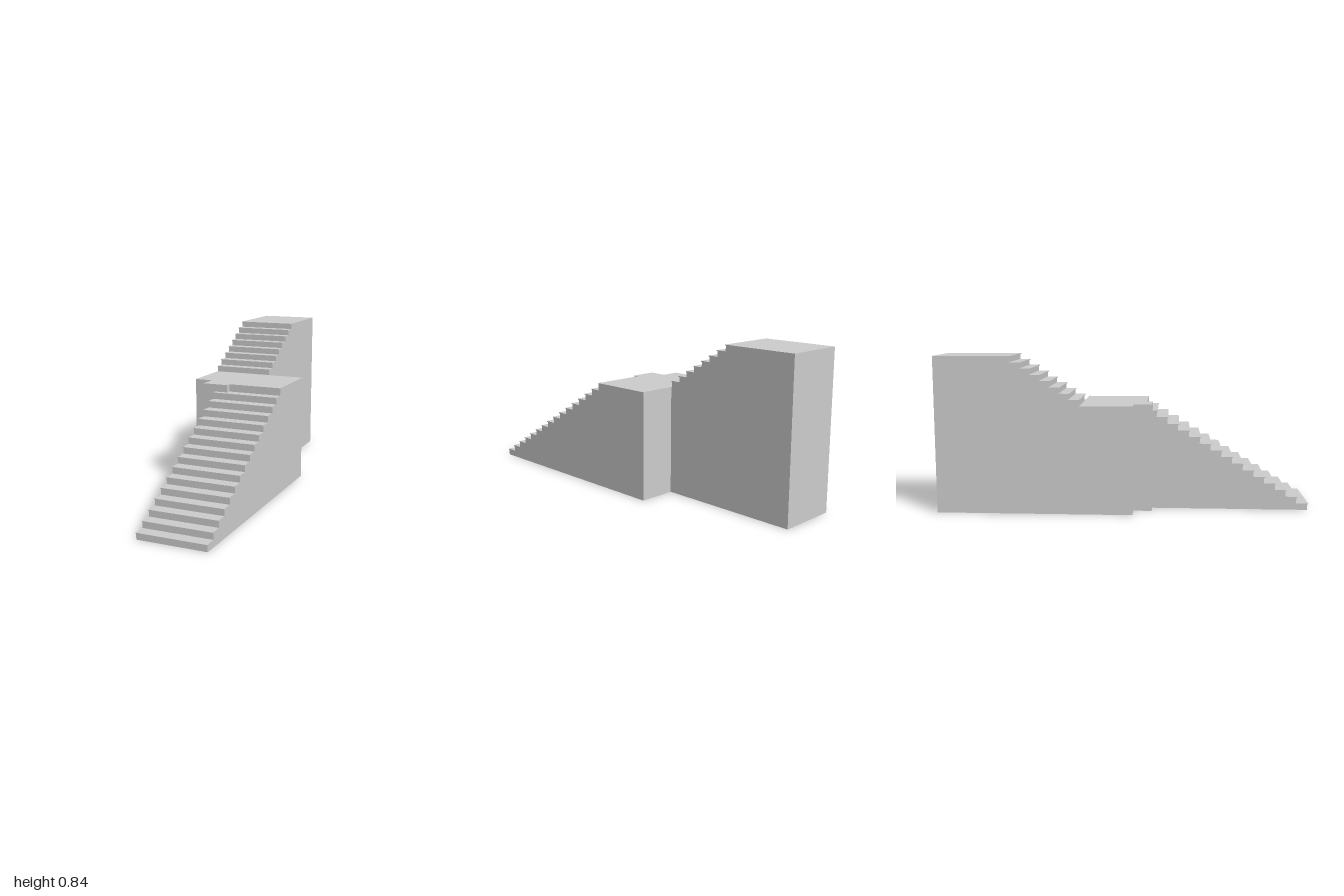
import * as THREE from 'three';

const material = new THREE.MeshStandardMaterial({ color: 0xcccccc, side: THREE.DoubleSide, flatShading: true });
const LEFT = 0.265, RIGHT = -0.267, INNER = -0.1, UPPER = 0.06;
const LANDING = 0.58, TOP = 0.84, JOINT = -0.23, BACK = -1;

// Flat quads between two matching polylines
function ribbon(a, b) {
  const pos = [];
  for (let i = 0; i < a.length - 1; i++) {
    pos.push(...a[i], ...b[i], ...b[i + 1], ...a[i], ...b[i + 1], ...a[i + 1]);
  }
  const g = new THREE.BufferGeometry();
  g.setAttribute('position', new THREE.Float32BufferAttribute(pos, 3));
  g.computeVertexNormals();
  return g;
}

// [z, y] profile swept across x
const sweep = (pts, x0, x1) => ribbon(pts.map(([z, y]) => [x0, y, z]), pts.map(([z, y]) => [x1, y, z]));

// [x, z] plan line raised from y0 to y1
const wall = (pts, y0, y1) => ribbon(pts.map(([x, z]) => [x, y0, z]), pts.map(([x, z]) => [x, y1, z]));

const flat = (pts) => new THREE.ShapeGeometry(new THREE.Shape(pts.map(([a, b]) => new THREE.Vector2(a, b))));

// [z, y] outline as an upright side at x
function side(pts, x, facesLeft) {
  const g = flat(pts).rotateY(-Math.PI / 2);
  if (facesLeft) g.scale(-1, 1, 1).index.array.reverse();
  if (facesLeft) g.computeVertexNormals();
  return g.translate(x, 0, 0);
}

// [x, z] outline as a level surface at y
const level = (pts, y) => flat(pts.map(([x, z]) => [x, -z])).rotateX(-Math.PI / 2).translate(0, y, 0);

// Stair profile with a small nosing on each tread
function stairs(count, z, y, run, rise) {
  const pts = [];
  for (let i = 0; i < count; i++) {
    const edge = z - i * run, top = y + (i + 1) * rise;
    pts.push([edge - 0.006, top - rise], [edge - 0.006, top - 0.005], [edge, top - 0.005], [edge, top]);
  }
  return pts;
}

export function createModel() {
  const model = new THREE.Group();
  const add = (name, geometry) => {
    const mesh = new THREE.Mesh(geometry, material);
    mesh.name = name;
    model.add(mesh);
  };

  // Lower flight
  const lower = stairs(15, 1, 0, 0.88 / 15, 0.036);
  const lowerSteps = [...lower, [0.12, 0.54]];
  add('lowerSteps', sweep(lowerSteps, INNER, LEFT));
  add('lowerLeftSide', side([...lowerSteps, [0.12, LANDING], [JOINT, LANDING], [JOINT, 0]], LEFT, true));
  add('lowerRightSide', side([...lower, [0.15, 0.54], [0.15, 0]], INNER, false));

  // Landing with its stepped front corner
  const corner = [[INNER, 0.15], [-0.17, 0.15], [-0.17, 0.05], [RIGHT, 0.05]];
  const lip = [[LEFT, 0.12], [-0.03, 0.12], [-0.03, 0.15], [INNER, 0.15]];
  add('landingTop', level([...lip, ...corner.slice(1), [RIGHT, JOINT], [LEFT, JOINT]], LANDING));
  add('landingCorner', wall(corner, 0, LANDING));
  add('landingLip', wall(lip, 0.54, LANDING));
  add('landingBack', wall([[UPPER, JOINT], [LEFT, JOINT]], 0, LANDING));

  // Upper flight and top platform
  const upper = [...stairs(8, JOINT, LANDING, 0.36 / 7, 0.26 / 8), [BACK, TOP]];
  add('upperSteps', sweep(upper, RIGHT, UPPER));
  add('upperLeftSide', side([[JOINT, 0], [JOINT, LANDING], ...upper, [BACK, 0]], UPPER, true));
  add('upperRightSide', side([[0.05, 0], [0.05, LANDING], ...upper, [BACK, 0]], RIGHT, false));
  add('upperBack', wall([[RIGHT, BACK], [UPPER, BACK]], 0, TOP));

  // Partial floor along the right; the rest is open underneath
  add('floor', level([...corner, [RIGHT, BACK], [INNER, BACK]], 0));

  return model;
}
